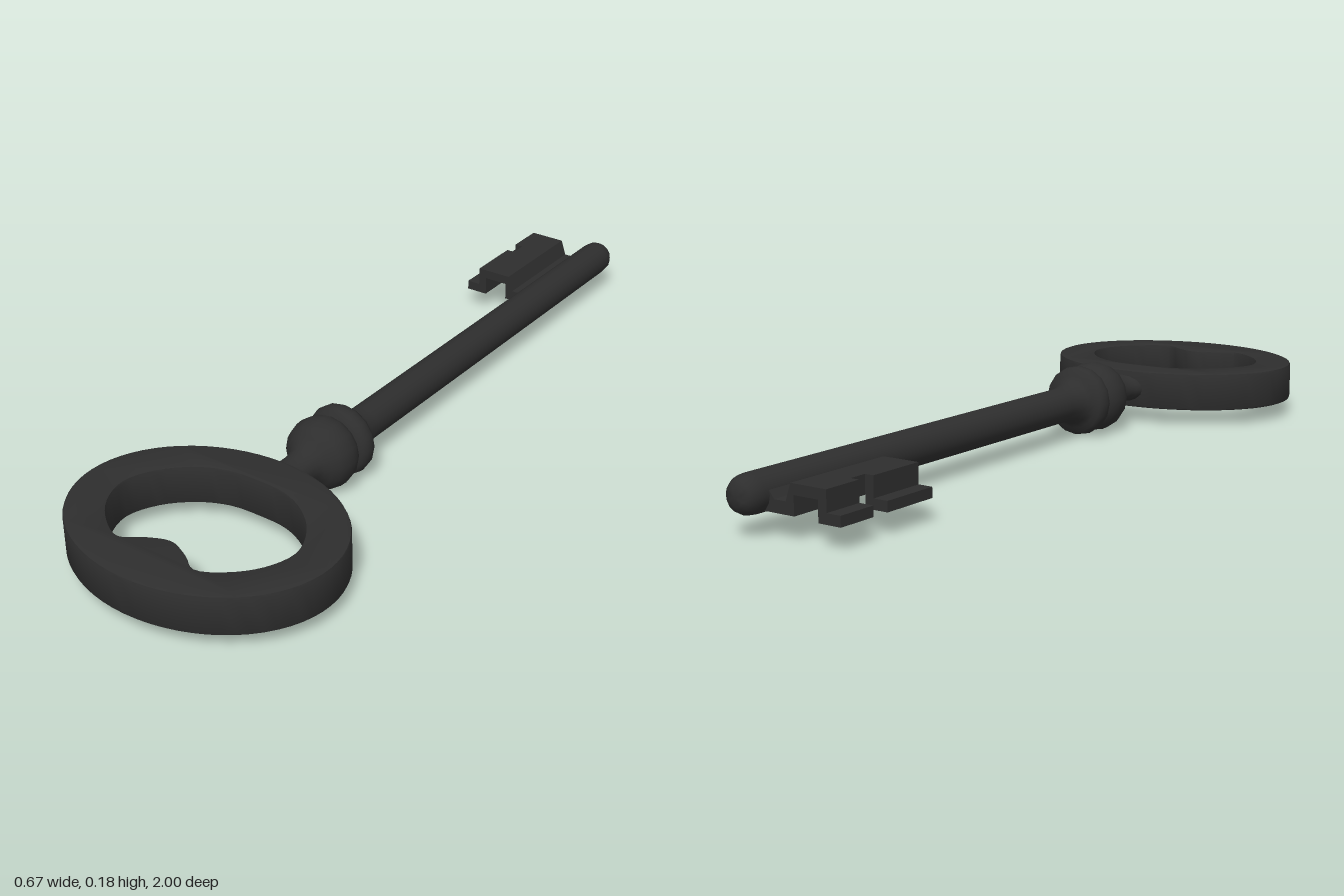
import * as THREE from 'three';
import { toCreasedNormals } from 'three/addons/utils/BufferGeometryUtils.js';

const AXIS = 0.09; // height of the key's centre line
const material = new THREE.MeshStandardMaterial({ color: 0x2e2e2e });

function addPart(group, name, geometry) {
  const mesh = new THREE.Mesh(geometry, material);
  mesh.name = name;
  mesh.position.y = AXIS;
  group.add(mesh);
}

const vectors = (list) => list.map(([x, y]) => new THREE.Vector2(x, y));

// Round stem with collar, ball and neck, turned along z
function stemGeometry() {
  const profile = vectors([
    [0, -1], [0.02, -0.998], [0.034, -0.99], [0.042, -0.975], [0.044, -0.955],
    [0.044, 0.16], [0.048, 0.19], [0.056, 0.21], [0.068, 0.222],
    [0.08, 0.226], [0.087, 0.236], [0.089, 0.25], [0.087, 0.262], [0.08, 0.272], [0.07, 0.276],
    [0.078, 0.284], [0.086, 0.297], [0.089, 0.315], [0.088, 0.335], [0.081, 0.355], [0.066, 0.371],
    [0.052, 0.382], [0.044, 0.396], [0.041, 0.42], [0.042, 0.44], [0.046, 0.455], [0.052, 0.468], [0.052, 0.5],
  ]);
  const geo = new THREE.LatheGeometry(profile, 16);
  geo.rotateX(Math.PI / 2);
  // The neck widens sideways and flattens where it meets the bow
  const p = geo.attributes.position;
  for (let i = 0; i < p.count; i++) {
    const t = THREE.MathUtils.clamp((p.getZ(i) - 0.4) / 0.07, 0, 1);
    p.setX(i, p.getX(i) * (1 + 0.12 * t));
    p.setY(i, p.getY(i) * (1 - 0.32 * t));
  }
  return toCreasedNormals(geo, 0.9);
}

// Oval bow with a shaped opening
function bowGeometry() {
  const shape = new THREE.Shape();
  shape.absellipse(0, 0.732, 0.335, 0.268, 0, Math.PI * 2);
  const half = [
    [0.08, 0.565], [0.15, 0.597], [0.21, 0.655], [0.24, 0.73],
    [0.217, 0.805], [0.165, 0.862], [0.105, 0.892], [0.055, 0.862],
  ];
  const mirrored = half.map(([x, z]) => [-x, z]).reverse();
  const outline = [[0, 0.559], ...half, [0, 0.842], ...mirrored]
    .map(([x, z]) => new THREE.Vector3(x, z, 0));
  const curve = new THREE.CatmullRomCurve3(outline, true);
  const points = curve.getPoints(72).slice(0, -1).map((v) => new THREE.Vector2(v.x, v.y));
  shape.holes.push(new THREE.Path(points));

  const height = 0.098, bevel = 0.007;
  const geo = new THREE.ExtrudeGeometry(shape, {
    depth: height - 2 * bevel, curveSegments: 32,
    bevelSize: bevel, bevelThickness: bevel, bevelOffset: -bevel, bevelSegments: 2,
  });
  geo.translate(0, 0, bevel - height / 2);
  geo.rotateX(Math.PI / 2);
  return toCreasedNormals(geo, 0.5);
}

// Stepped bit: a ledge at the stem, a raised plate, then a low outer lip
const fullBit = [
  [0, -0.034], [-0.108, -0.034], [-0.108, 0.01], [-0.172, 0.01], [-0.172, -0.038], [-0.23, -0.038],
  [-0.23, -0.014], [-0.194, -0.014], [-0.194, 0.034], [-0.1, 0.034], [-0.086, -0.006], [-0.055, -0.006], [-0.035, 0.02], [0, 0.02],
];
const notchedBit = [
  [0, -0.034], [-0.108, -0.034], [-0.108, 0.01], [-0.172, 0.01],
  [-0.172, 0.034], [-0.1, 0.034], [-0.086, -0.006], [-0.055, -0.006], [-0.035, 0.02], [0, 0.02],
];

function bitGeometry(profile, z0, z1) {
  const geo = new THREE.ExtrudeGeometry(new THREE.Shape(vectors(profile)), {
    depth: z1 - z0, bevelEnabled: false,
  });
  return geo.translate(0, 0, z0);
}

export function createModel() {
  const key = new THREE.Group();
  key.name = 'key';
  addPart(key, 'stem', stemGeometry());
  addPart(key, 'bow', bowGeometry());
  addPart(key, 'bitTipEnd', bitGeometry(fullBit, -0.945, -0.846));
  addPart(key, 'bitNotch', bitGeometry(notchedBit, -0.846, -0.802));
  addPart(key, 'bitBowEnd', bitGeometry(fullBit, -0.802, -0.656));
  return key;
}
